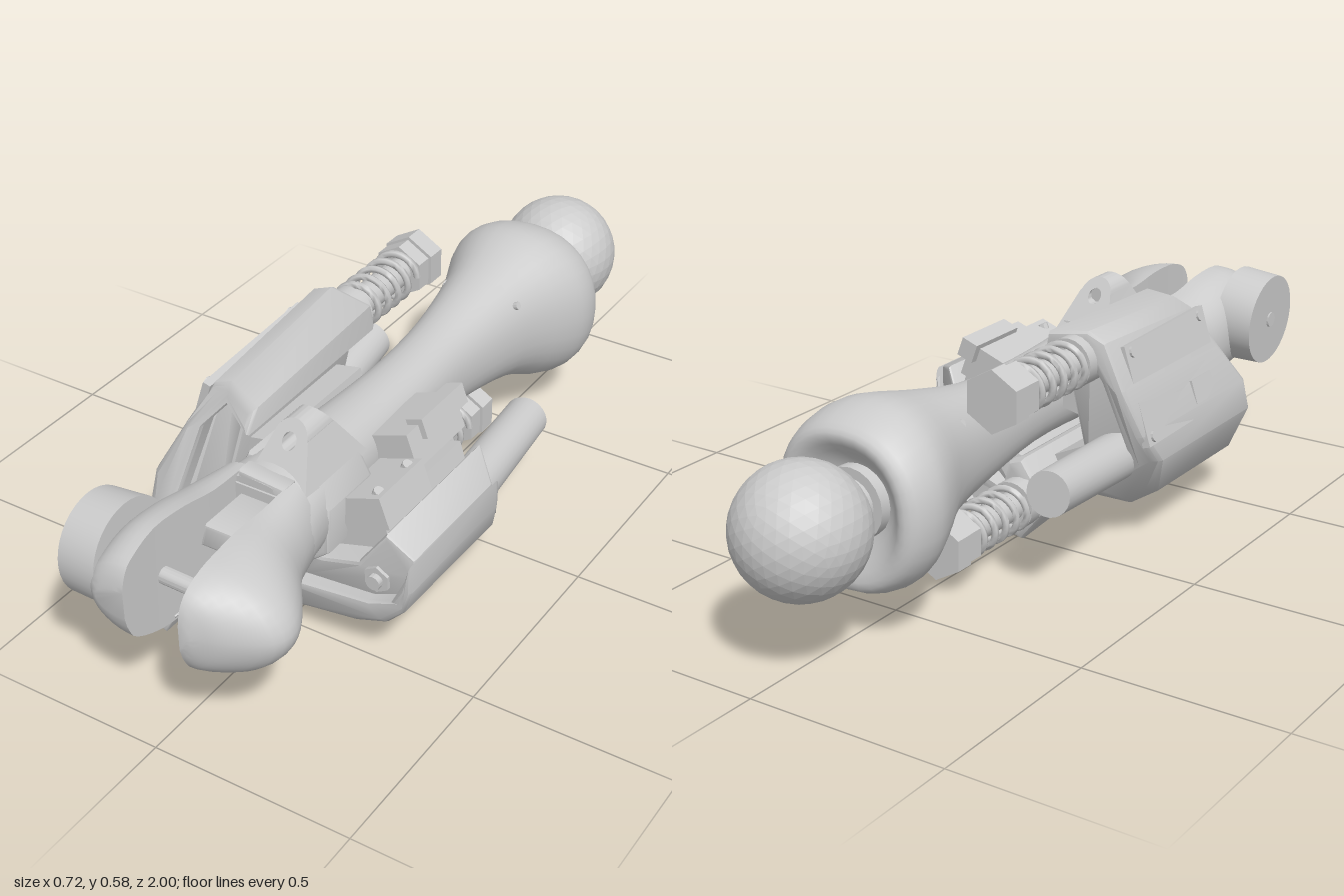
import * as THREE from 'three';
import { toCreasedNormals } from 'three/addons/utils/BufferGeometryUtils.js';

const grey = new THREE.MeshStandardMaterial({ color: 0xcccccc, side: THREE.DoubleSide });
const V = (x, y, z) => new THREE.Vector3(x, y, z);

export function createModel() {
  const model = new THREE.Group();

  function add(name, geo, parent = model, crease = 0.6) {
    const mesh = new THREE.Mesh(toCreasedNormals(geo, crease), grey);
    mesh.name = name;
    parent.add(mesh);
    return mesh;
  }

  // Loft through sections [z, x0, x1, y0, y1]; a0..a1 is the swept angle of each ring
  function loft(sections, n, a0 = 0, a1 = Math.PI * 2, power = 0.9) {
    const times = sections.map((_, i) => i);
    const spline = new THREE.CubicInterpolant(times, sections.flat(), 5, new Float32Array(5));
    const steps = (sections.length - 1) * 3, full = a1 - a0 > 6, pos = [], idx = [];
    const sp = (v) => Math.sign(v) * Math.abs(v) ** power;
    for (let s = 0; s <= steps; s++) {
      const [z, x0, x1, y0, y1] = Array.from(spline.evaluate(s / 3));
      for (let i = 0; i < n; i++) {
        const a = a0 + (a1 - a0) * i / (full ? n : n - 1);
        const x = full ? (x0 + x1) / 2 + (x1 - x0) / 2 * sp(Math.cos(a)) : x0 + (x1 - x0) * Math.abs(sp(Math.cos(a)));
        pos.push(x, (y0 + y1) / 2 + (y1 - y0) / 2 * sp(Math.sin(a)), z);
        const j = (i + 1) % n, p = s * n;
        if (s < steps) idx.push(p + i, p + j, p + n + i, p + j, p + n + j, p + n + i);
      }
    }
    for (let i = 1; i < n - 1; i++) {
      const e = steps * n;
      idx.push(0, i + 1, i, e, e + i, e + i + 1);
    }
    const g = new THREE.BufferGeometry();
    g.setAttribute('position', new THREE.Float32BufferAttribute(pos, 3));
    g.setIndex(idx);
    return g;
  }

  // Cylinder between two points
  function rod(name, a, b, r, sides = 20, parent = model, r2 = r) {
    const m = add(name, new THREE.CylinderGeometry(r2, r, a.distanceTo(b), sides), parent);
    m.position.copy(a).add(b).multiplyScalar(0.5);
    m.quaternion.setFromUnitVectors(V(0, 1, 0), b.clone().sub(a).normalize());
  }

  function box(name, w, h, d, x, y, z, roll = 0, parent = model) {
    const m = add(name, new THREE.BoxGeometry(w, h, d), parent);
    m.position.set(x, y, z);
    m.rotation.z = roll;
  }

  // Move every vertex of a geometry by a rule
  function bend(geo, rule) {
    const p = geo.attributes.position, v = V(0, 0, 0);
    for (let i = 0; i < p.count; i++) {
      v.fromBufferAttribute(p, i);
      rule(v);
      p.setXYZ(i, v.x, v.y, v.z);
    }
    return geo;
  }

  // Bevelled extrusion of an outline along z
  function slab(name, pts, z0, z1, bevel, parent = model, rule = () => {}) {
    const shape = new THREE.Shape(pts.map((p) => new THREE.Vector2(...p)));
    const g = new THREE.ExtrudeGeometry(shape, {
      depth: z1 - z0 - bevel * 2, bevelSize: bevel, bevelOffset: -bevel, bevelThickness: bevel, bevelSegments: 2,
    });
    g.translate(0, 0, z0 + bevel);
    add(name, bend(g, rule), parent);
  }

  // Ball joint and neck
  add('ball', new THREE.IcosahedronGeometry(0.154, 5), model, 0.01).position.set(-0.025, 0.335, -0.847);
  rod('neck', V(-0.025, 0.335, -0.74), V(-0.025, 0.335, -0.62), 0.062);
  rod('neckCollar', V(-0.025, 0.335, -0.68), V(-0.025, 0.335, -0.64), 0.085);

  // Bone-shaped main limb with a dished rear end
  add('limb', loft([
    [-0.64, -0.07, 0.03, 0.285, 0.385], [-0.655, -0.12, 0.09, 0.23, 0.43], [-0.685, -0.16, 0.15, 0.15, 0.48],
    [-0.665, -0.195, 0.185, 0.12, 0.51], [-0.6, -0.21, 0.195, 0.11, 0.535], [-0.53, -0.19, 0.175, 0.13, 0.537],
    [-0.4, -0.135, 0.125, 0.19, 0.505], [-0.2, -0.1, 0.09, 0.225, 0.465], [0, -0.085, 0.09, 0.25, 0.455],
    [0.2, -0.09, 0.1, 0.25, 0.46], [0.4, -0.1, 0.12, 0.235, 0.475], [0.5, -0.12, 0.13, 0.225, 0.475],
    [0.6, -0.145, 0.145, 0.22, 0.465],
  ], 32), model, 0.9);

  // Fork prongs, flat on their inner sides
  const h = Math.PI / 2;
  add('leftProng', loft([
    [0.56, 0.07, 0.135, 0.22, 0.465], [0.68, 0.075, 0.175, 0.215, 0.465], [0.78, 0.08, 0.245, 0.21, 0.475],
    [0.85, 0.085, 0.28, 0.205, 0.475], [0.91, 0.088, 0.265, 0.21, 0.47], [0.965, 0.09, 0.19, 0.245, 0.45],
    [0.99, 0.09, 0.135, 0.285, 0.42], [1.0, 0.09, 0.11, 0.32, 0.38],
  ], 20, -h, h, 1.12), model, 0.9);
  add('rightProng', loft([
    [0.56, -0.05, -0.14, 0.22, 0.465], [0.68, -0.05, -0.175, 0.215, 0.47], [0.78, -0.052, -0.18, 0.215, 0.49],
    [0.88, -0.055, -0.175, 0.225, 0.495], [0.96, -0.055, -0.165, 0.26, 0.465], [0.985, -0.055, -0.15, 0.295, 0.435],
    [0.995, -0.055, -0.13, 0.33, 0.4],
  ], 20, h, 3 * h), model, 0.9);
  rod('prongDisc', V(-0.14, 0.385, 0.86), V(-0.24, 0.38, 0.86), 0.125, 36, model, 0.12);
  rod('prongDiscCentre', V(-0.23, 0.38, 0.86), V(-0.245, 0.38, 0.86), 0.02, 12);
  rod('axle', V(-0.1, 0.36, 0.86), V(0.12, 0.355, 0.86), 0.02, 16);

  // Web and lips between the prongs
  box('forkWeb', 0.13, 0.2, 0.05, 0.01, 0.345, 0.58);
  slab('lowerLip', [[-0.07, 0.215], [0.06, 0.2], [0.07, 0.28], [-0.06, 0.29]], 0.56, 0.8, 0.008);
  slab('upperLip', [[-0.05, 0.42], [0.075, 0.42], [0.075, 0.465], [-0.045, 0.475]], 0.55, 0.6, 0.008);
  slab('slotBlock', [[-0.05, 0.36], [0.075, 0.36], [0.06, 0.42], [-0.035, 0.42]], 0.58, 0.74, 0.008);
  slab('undersideWedge', [[-0.15, 0.21], [-0.08, 0.175], [-0.05, 0.23], [-0.11, 0.26]], 0.56, 0.84, 0.004);

  // Top lug, tapering upwards, with a cross hole
  const lug = new THREE.Shape();
  lug.moveTo(-0.055, 0.42);
  lug.lineTo(0.11, 0.42);
  lug.lineTo(0.07, 0.53);
  lug.absarc(0.025, 0.52, 0.044, 0.2, Math.PI - 0.2, false);
  lug.closePath();
  lug.holes.push(new THREE.Path().absarc(0.025, 0.52, 0.018, 0, Math.PI * 2, true));
  const lugGeo = new THREE.ExtrudeGeometry(lug, { depth: 1, bevelEnabled: false, curveSegments: 16 });
  add('topLug', bend(lugGeo, (v) => {
    v.z = 0.445 + (v.z - 0.5) * (0.25 - (v.y - 0.42) * 1.35);
  }));
  rod('lugPin', V(0.025, 0.52, 0.4), V(0.025, 0.52, 0.455), 0.02, 6);
  slab('mountBand', [[-0.11, 0.24], [-0.06, 0.21], [0.07, 0.21], [0.13, 0.26], [0.135, 0.38], [0.09, 0.46], [-0.08, 0.46], [-0.12, 0.38]], 0.34, 0.52, 0.012);

  // Sprung damper with a hex head, running backwards along z
  function damper(name, x, y, pivot, pivotEnd) {
    const g = new THREE.Group();
    g.name = name;
    g.position.set(x, y, 0);
    model.add(g);
    rod('damperShaft', V(0, 0, -0.3), V(0, 0, 0.1), 0.036, 16, g);
    rod('damperSeat', V(0, 0, -0.06), V(0, 0, 0.04), 0.062, 20, g);
    rod('hexWasher', V(0, 0, -0.318), V(0, 0, -0.275), 0.07, 6, g);
    rod('hexHead', V(0, 0, -0.372), V(0, 0, -0.322), 0.076, 6, g);
    rod('hexNeck', V(0, 0, -0.33), V(0, 0, -0.3), 0.055, 16, g);
    const helix = Array.from({ length: 73 }, (_, i) => {
      const a = i / 72 * Math.PI * 2 * 5;
      return V(0.055 * Math.cos(a), 0.055 * Math.sin(a), -0.275 + 0.225 * i / 72);
    });
    add('spring', new THREE.TubeGeometry(new THREE.CatmullRomCurve3(helix), 140, 0.009, 6), g, 1.5);
    rod('damperPivot', V(0, 0, 0.04), V(...pivot, pivotEnd), 0.04, 16, g);
    rod('pivotPin', V(...pivot, pivotEnd - 0.02), V(...pivot, pivotEnd + 0.012), 0.018, 12, g);
  }
  damper('upperDamper', -0.18, 0.505, [0.045, -0.005], 0.42);
  damper('lowerDamper', -0.02, 0.108, [0, 0.042], 0.53);

  // Actuator housing: cover, core, screwed panel, hex bolt and guide rod.
  // tip is shortened and drawn in towards the front, tail is swept forward at the rear.
  function housing(name, { cover, core, p, q, panelDepth, panelTilt, bolt, rodStart, rodEnd, z0, tip, tail }) {
    const g = new THREE.Group();
    g.name = name;
    model.add(g);
    const sweep = (v) => {
      const x = v.x, y = v.y - 0.37, t = (v.z - z0) / (0.545 - z0);
      const w = THREE.MathUtils.clamp((x * tip.x + y * tip.y - tip.start) / tip.range, 0, 1);
      const k = Math.max(0, x * tail[0] + y * tail[1] - 0.1);
      v.z += 2.6 * k * k * (1 - t) - w * tip.cut * t;
      v.x -= tip.x * w * tip.draw * t;
      v.y -= tip.y * w * tip.draw * t;
    };
    slab('cover', cover, z0, 0.545, 0.018, g, sweep);
    slab('core', core, z0 + 0.04, 0.5, 0.01, g, sweep);
    const len = Math.hypot(q[0] - p[0], q[1] - p[1]), panel = new THREE.Group();
    panel.name = 'panel';
    panel.position.set((p[0] + q[0]) / 2, (p[1] + q[1]) / 2, 0.03 + panelDepth / 2);
    panel.rotation.set(-panelTilt, 0, Math.atan2(q[1] - p[1], q[0] - p[0]), 'ZYX');
    g.add(panel);
    box('panelPlate', len, 0.02, panelDepth, 0, 0.002, 0, 0, panel);
    for (const sx of [-1, 1]) for (const sz of [-1, 1])
      rod('panelScrew', V(sx * len * 0.42, -0.014, sz * panelDepth * 0.43), V(sx * len * 0.42, 0.01, sz * panelDepth * 0.43), 0.014, 10, panel);
    box('panelLatch', 0.06, 0.03, 0.1, len * 0.25, 0, 0.1, 0, panel);
    rod('hexBolt', V(...bolt, 0.48), V(...bolt, 0.515), 0.034, 6, g);
    rod('boltPin', V(...bolt, 0.5), V(...bolt, 0.53), 0.018, 14, g);
    rod('guideRod', V(...rodEnd, -0.28), V(...rodStart, 0.1), 0.055, 24, g, 0.06);
  }
  housing('leftHousing', {
    cover: [[-0.1, 0.1], [-0.02, 0], [0.06, 0.02], [0.2, 0.055], [0.285, 0.105], [0.335, 0.18], [0.36, 0.26], [0.355, 0.33],
      [0.325, 0.225], [0.24, 0.17], [0.04, 0.13], [0.02, 0.2], [-0.02, 0.215]],
    core: [[0.02, 0.1], [0.3, 0.17], [0.357, 0.28], [0.352, 0.33], [0.275, 0.365], [0.2, 0.26], [0.1, 0.23], [0.0, 0.21]],
    p: [0.03, 0.035], q: [0.27, 0.112], panelDepth: 0.44, panelTilt: 0.065, bolt: [0.255, 0.24],
    rodStart: [0.235, 0.205], rodEnd: [0.195, 0.197], z0: -0.02,
    tip: { x: 0, y: -1, start: 0.15, range: 0.2, cut: 0.04, draw: 0.048 }, tail: [1, 0],
  });
  housing('rightHousing', {
    cover: [[-0.23, 0.09], [-0.16, 0.13], [-0.14, 0.19], [-0.17, 0.26], [-0.2, 0.17], [-0.285, 0.24], [-0.25, 0.46], [-0.2, 0.53],
      [-0.09, 0.5], [-0.1, 0.56], [-0.21, 0.58], [-0.26, 0.56], [-0.31, 0.45], [-0.342, 0.33], [-0.352, 0.25], [-0.3, 0.135]],
    core: [[-0.3, 0.15], [-0.23, 0.11], [-0.17, 0.25], [-0.13, 0.49], [-0.2, 0.54], [-0.25, 0.53], [-0.32, 0.27]],
    p: [-0.262, 0.535], q: [-0.338, 0.3], panelDepth: 0.4, panelTilt: 0.04, bolt: [-0.235, 0.225],
    rodStart: [-0.23, 0.24], rodEnd: [-0.27, 0.275], z0: -0.03,
    tip: { x: -0.5, y: 0.85, start: 0.12, range: 0.15, cut: 0.12, draw: 0.035 }, tail: [-0.6, -0.8],
  });

  // Brackets tying the housings to the limb
  box('lowerBracket', 0.09, 0.09, 0.42, -0.11, 0.18, 0.3, -0.45);
  box('sideBracket', 0.14, 0.1, 0.36, -0.13, 0.38, 0.25, 0.2);
  box('innerBracket', 0.16, 0.09, 0.34, 0.16, 0.29, 0.27, 0.3);

  // Control boxes on the left flank
  box('controlBox', 0.11, 0.09, 0.21, 0.145, 0.395, 0.165, 0.35);
  box('controlBoxLid', 0.045, 0.05, 0.18, 0.178, 0.443, 0.13, 0.35);
  box('lowerControlBox', 0.12, 0.08, 0.18, 0.18, 0.35, 0.36, 0.35);
  for (const z of [0.3, 0.42]) rod('boxScrew', V(0.19, 0.37, z), V(0.205, 0.405, z), 0.014, 8);

  // Small rivets on the limb
  for (const s of [-1, 1]) rod('limbRivet', V(s * 0.08, 0.43, -0.38), V(s * 0.108, 0.443, -0.38), 0.01, 10);

  return model;
}
